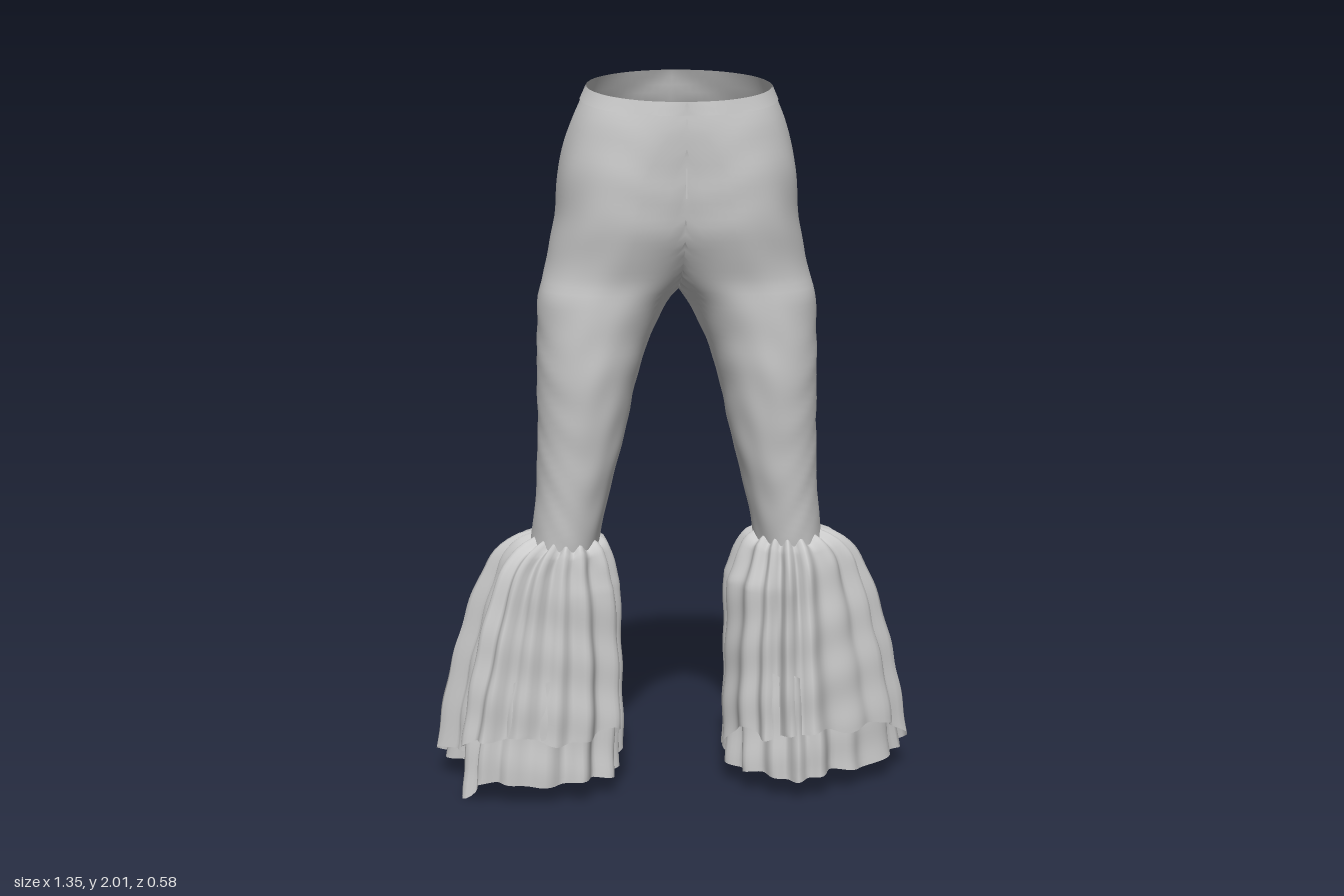
import * as THREE from 'three';
import { mergeVertices } from 'three/addons/utils/BufferGeometryUtils.js';

const material = new THREE.MeshStandardMaterial({ color: 0xcccccc, roughness: 0.9, side: THREE.DoubleSide });
const clamp01 = (v) => Math.min(1, Math.max(0, v));
const smooth = (v) => { const t = clamp01(v); return t * t * (3 - 2 * t); };

// Skins a closed-ring surface, top row first; faces lying wholly on x = 0 are left out.
function loft(rows, cols, sides, point) {
  const pos = [], index = [];
  for (const side of sides) {
    const base = pos.length / 3;
    for (let i = 0; i <= rows; i++) {
      for (let j = 0; j < cols; j++) {
        const p = point(i / rows, j / cols);
        pos.push(p[0] * side, p[1], p[2]);
      }
    }
    const tri = (a, b, c) => {
      if ([a, b, c].every((k) => Math.abs(pos[k * 3]) < 1e-5)) return;
      if (side > 0) index.push(a, b, c); else index.push(a, c, b);
    };
    for (let i = 0; i < rows; i++) {
      for (let j = 0; j < cols; j++) {
        const k = (j + 1) % cols;
        const a = base + i * cols + j, b = base + i * cols + k;
        tri(a, b, a + cols);
        tri(b, b + cols, a + cols);
      }
    }
  }
  let geo = new THREE.BufferGeometry();
  geo.setAttribute('position', new THREE.Float32BufferAttribute(pos, 3));
  geo.setIndex(index);
  geo = mergeVertices(geo, 1e-5);
  geo.computeVertexNormals();
  return geo;
}

// Leg sections: y, centre x, outer radius, inner radius (front, back), centre z, depth (front, back)
const SECTIONS = [
  [0.69, 0.316, 0.095, 0.095, 0.095, 0.045, 0.12, 0.122],
  [0.80, 0.299, 0.098, 0.098, 0.098, 0.057, 0.122, 0.122],
  [1.00, 0.269, 0.118, 0.118, 0.118, 0.07, 0.135, 0.136],
  [1.20, 0.246, 0.141, 0.141, 0.141, 0.065, 0.165, 0.165],
  [1.30, 0.227, 0.158, 0.158, 0.158, 0.063, 0.17, 0.17],
  [1.40, 0.197, 0.184, 0.184, 0.184, 0.06, 0.178, 0.18],
  [1.45, 0.17, 0.198, 0.22, 0.197, 0.05, 0.19, 0.2],
  [1.60, 0.13, 0.206, 0.36, 0.2, 0.045, 0.235, 0.245],
  [1.75, 0.10, 0.22, 0.42, 0.24, 0.07, 0.22, 0.225],
  [1.85, 0.05, 0.238, 0.4, 0.3, 0.1, 0.193, 0.19],
  [1.94, 0, 0.25, 0.25, 0.25, 0.115, 0.175, 0.175],
];
const section = new THREE.CubicInterpolant(
  SECTIONS.map((s) => s[0]), SECTIONS.flatMap((s) => s.slice(1)), 7);

// Both trouser halves between two heights, joined along the centre seam
function trousers(yTop, yBottom, rows, grow) {
  return loft(rows, 72, [1, -1], (v, u) => {
    const y = yTop + (yBottom - yTop) * v, a = u * Math.PI * 2;
    const [cx, out, inFront, inBack, cz, front, back] = section.evaluate(y);
    const c = Math.cos(a), s = Math.sin(a);
    // faint cloth wrinkles
    const w = grow + 0.0015 * Math.sin(y * 43 + 4 * Math.sin(a * 2 + y * 5)) * Math.sin(a * 3 + y * 13);
    const x = cx + c * ((c > 0 ? out : s >= -1e-6 ? inFront : inBack) + w);
    const z = cz + s * ((s > 0 ? front : back) + w);
    // the waist rises towards the back
    const tilt = (0.29 - z) * 0.17 * smooth((y - 1.55) / 0.39);
    return [x < 1e-4 ? 0 : x, y + tilt, z];
  });
}

// Hem outlines seen from above (x outwards, z), starting at the outer side
const HEMS = {
  left: [[0.66, -0.01], [0.57, 0.12], [0.46, 0.18], [0.34, 0.26], [0.24, 0.21], [0.17, 0.14],
    [0.15, 0.03], [0.17, -0.08], [0.24, -0.16], [0.38, -0.275], [0.51, -0.23], [0.57, -0.13]],
  right: [[0.57, 0], [0.61, 0.15], [0.52, 0.21], [0.36, 0.22], [0.25, 0.19], [0.18, 0.12],
    [0.165, 0.03], [0.18, -0.07], [0.24, -0.16], [0.4, -0.25], [0.55, -0.19], [0.66, -0.09]],
};

// One gathered ruffle layer; hem(a) is the height of its lower edge
function ruffle(outline, side, rows, yTop, hem, scale, phase) {
  const curve = new THREE.CatmullRomCurve3(outline.map(([x, z]) => new THREE.Vector3(x, 0, z)), true);
  const spread = new THREE.CubicInterpolant([0.03, 0.2, 0.4, 0.6, 0.67, 0.72], [1, 0.9, 0.72, 0.45, 0.28, 0.02], 1);
  return loft(rows, 128, [side], (v, u) => {
    const a = u * Math.PI * 2, c = Math.cos(a), s = Math.sin(a);
    const bottom = hem(a);
    let y = yTop + (bottom - yTop) * v;
    const p = curve.getPoint(u);
    let t = spread.evaluate(Math.max(0.03, Math.min(0.72, y)))[0];
    // the inner side drops almost straight
    t += (clamp01((0.73 - y) * 7) - t) * clamp01(-c) * 0.8;
    // the gathered top edge tucks in against the leg
    const tuck = 0.022 * smooth((y - 0.7) / 0.02);
    const topX = 0.315 + (0.105 - tuck) * c, topZ = 0.045 + (0.125 - tuck) * s;
    // pleats of uneven width and depth
    const wave = Math.sin(a * 15 + phase + 1.4 * Math.sin(a * 3 + phase) + 0.4 * Math.sin(y * 8 + a));
    const depth = 0.013 + 0.005 * Math.sin(a * 4 + phase * 2);
    const crumple = 0.004 * Math.sin(a * 7 + y * 17 + phase) * Math.sin(y * 23 - a * 5);
    const pleat = (depth * wave + crumple) * smooth((0.745 - y) / 0.1);
    const x = 0.315 + (topX + (p.x - topX) * t - 0.315) * scale + pleat * c;
    const z = 0.045 + (topZ + (p.z - topZ) * t - 0.045) * scale + pleat * s;
    y += 0.01 * wave * (1 - smooth(v * 8));
    return [x, y, z];
  });
}

export function createModel() {
  const model = new THREE.Group();
  const add = (parent, name, geo) => {
    const mesh = new THREE.Mesh(geo, material);
    mesh.name = name;
    parent.add(mesh);
    return mesh;
  };

  add(model, 'trousers', trousers(1.94, 0.69, 60, 0));
  add(model, 'waistband', trousers(1.94, 1.905, 2, 0.003));

  // short closure slit at the front
  const slit = add(model, 'flySlit', new THREE.BoxGeometry(0.004, 0.08, 0.006));
  slit.position.set(0, 1.725, 0.286);

  for (const [name, side, phase] of [['left', 1, 0.4], ['right', -1, 2.1]]) {
    const flare = new THREE.Group();
    flare.name = name + 'Flare';
    // the top layer is shorter at the front and shows the layer below
    const upperHem = (a) => 0.075 + 0.1 * smooth(Math.sin(a) * 1.4 + 0.2)
      + 0.012 * Math.sin(a * 5 + phase) + 0.006 * Math.sin(a * 11);
    // the right hem dips at its outer front corner
    const lowerHem = (a) => 0.05 + 0.006 * Math.sin(a * 6 + phase)
      - (side < 0 ? 0.05 * Math.exp(-(((a - 0.45) / 0.2) ** 2)) : 0);
    add(flare, 'upperRuffle', ruffle(HEMS[name], side, 44, 0.72, upperHem, 1.02, phase));
    add(flare, 'lowerRuffle', ruffle(HEMS[name], side, 16, 0.34, lowerHem, 0.95, phase + 0.8));
    model.add(flare);
  }
  return model;
}
